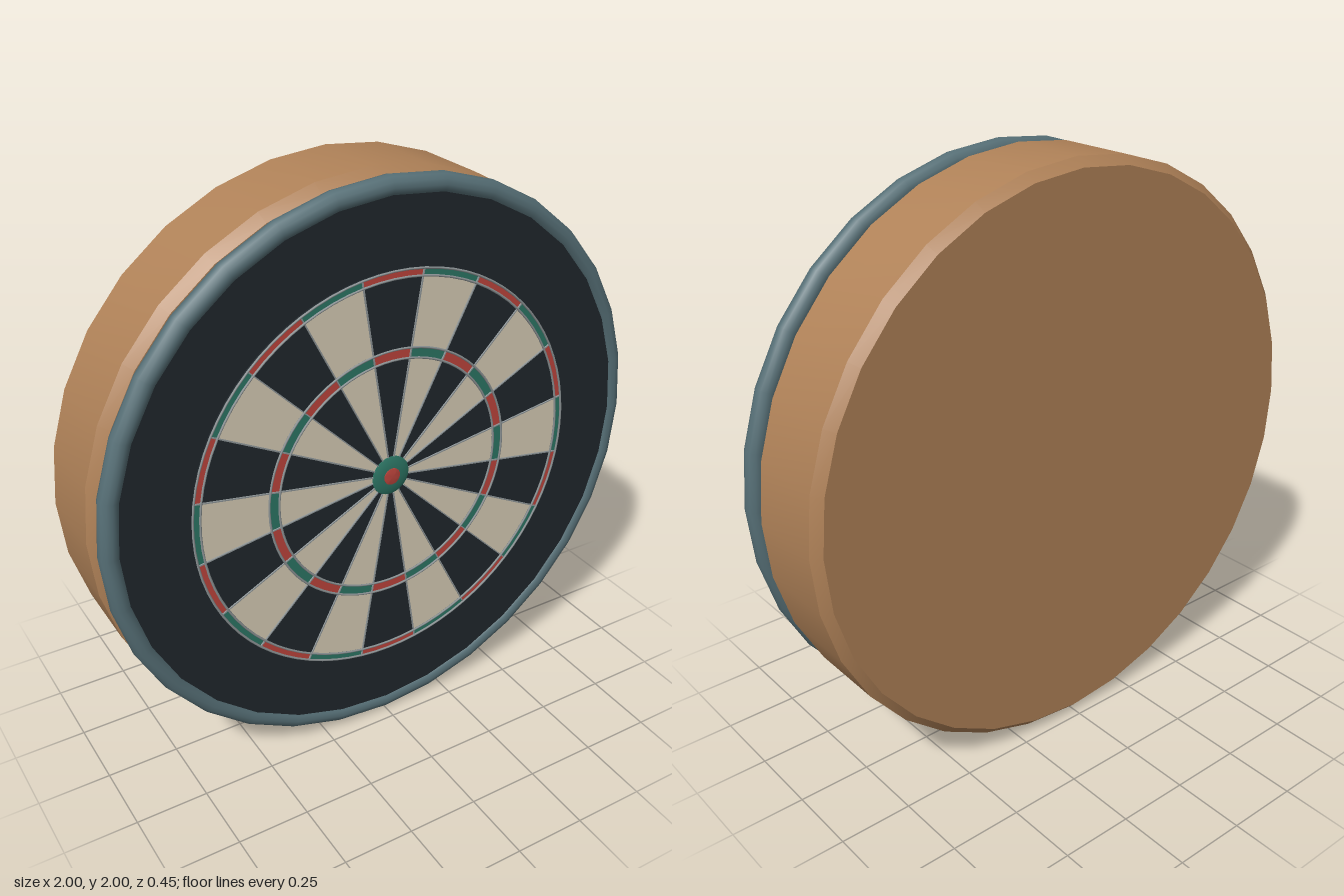
import * as THREE from 'three';
import { toCreasedNormals } from 'three/addons/utils/BufferGeometryUtils.js';

const SIDES = 32;
const mat = (color) => new THREE.MeshStandardMaterial({ color });
const wood = mat(0xb08258);
const rubber = mat(0x566f76);
const black = mat(0x1f262b);
const cream = mat(0xd6ccb4);
const red = mat(0xbc443c);
const green = mat(0x2c7564);
const wire = mat(0x8f9698);

// Radii of the scoring beds, from the bull outwards
const BULL = 0.07, TREBLE = [0.415, 0.45], DOUBLE = [0.685, 0.71];
const FACE_Z = 0.2, BED_Z = 0.208;

export function createModel() {
  const board = new THREE.Group();
  board.name = 'dartboard';
  board.position.y = 1;

  const add = (name, geometry, material, z = 0, parent = board) => {
    const mesh = new THREE.Mesh(geometry, material);
    mesh.name = name;
    mesh.position.z = z;
    parent.add(mesh);
    return mesh;
  };
  // Turned solid about the z axis from [radius, z] pairs, back to front
  const turned = (points, sides = SIDES) => toCreasedNormals(
    new THREE.LatheGeometry(points.map(([r, z]) => new THREE.Vector2(r, z)), sides)
      .rotateX(Math.PI / 2), 0.5);

  // Wooden backing with chamfered rims
  add('woodenBacking', turned([
    [0, -0.225], [0.97, -0.225], [1, -0.195], [1, 0.08], [0.97, 0.11], [0, 0.11],
  ]), wood);

  // Dark playing surface and the round rim in front of the backing
  add('playingSurface', turned([[0, 0.1], [0.945, 0.1], [0.945, FACE_Z], [0, FACE_Z]]), black);
  add('outerRim', new THREE.TorusGeometry(0.965, 0.035, 12, SIDES), rubber, 0.175);

  // Twenty sectors, each with two single beds, a treble and a double
  const sectors = new THREE.Group();
  sectors.name = 'scoringSectors';
  board.add(sectors);
  const step = Math.PI / 10;
  for (let i = 0; i < 20; i++) {
    const start = Math.PI / 2 - step / 2 + i * step;
    const bed = (name, inner, outer, material) => add(name,
      new THREE.RingGeometry(inner, outer, 4, 1, start, step), material, BED_Z, sectors);
    const single = i % 2 ? cream : black;
    const multiple = i % 2 ? green : red;
    bed('innerSingle', BULL, TREBLE[0], single);
    bed('treble', ...TREBLE, multiple);
    bed('outerSingle', TREBLE[1], DOUBLE[0], single);
    bed('double', ...DOUBLE, multiple);

    // Radial divider wire along the sector edge
    const divider = new THREE.BoxGeometry(DOUBLE[1] - BULL, 0.004, 0.006);
    divider.translate((DOUBLE[1] + BULL) / 2, 0, 0).rotateZ(start);
    add('dividerWire', divider, wire, BED_Z + 0.002, sectors);
  }

  // Closed edge around the scoring beds
  add('bedEdge', new THREE.CylinderGeometry(DOUBLE[1], DOUBLE[1], BED_Z - FACE_Z, 80, 1, true)
    .rotateX(Math.PI / 2), black, (BED_Z + FACE_Z) / 2);

  // Circular wires
  for (const r of [...TREBLE, ...DOUBLE]) {
    add('ringWire', new THREE.TorusGeometry(r, 0.004, 6, 80), wire, BED_Z + 0.004);
  }

  // Domed outer bull and the red centre
  add('outerBull', turned([[BULL, 0.2], [BULL, 0.21], [0.055, 0.216], [0.03, 0.218], [0, 0.218]], 24), green);
  add('bullseye', turned([[0.03, 0.21], [0.03, 0.22], [0.015, 0.223], [0, 0.223]], 20), red);

  const model = new THREE.Group();
  model.name = 'model';
  model.add(board);
  return model;
}
